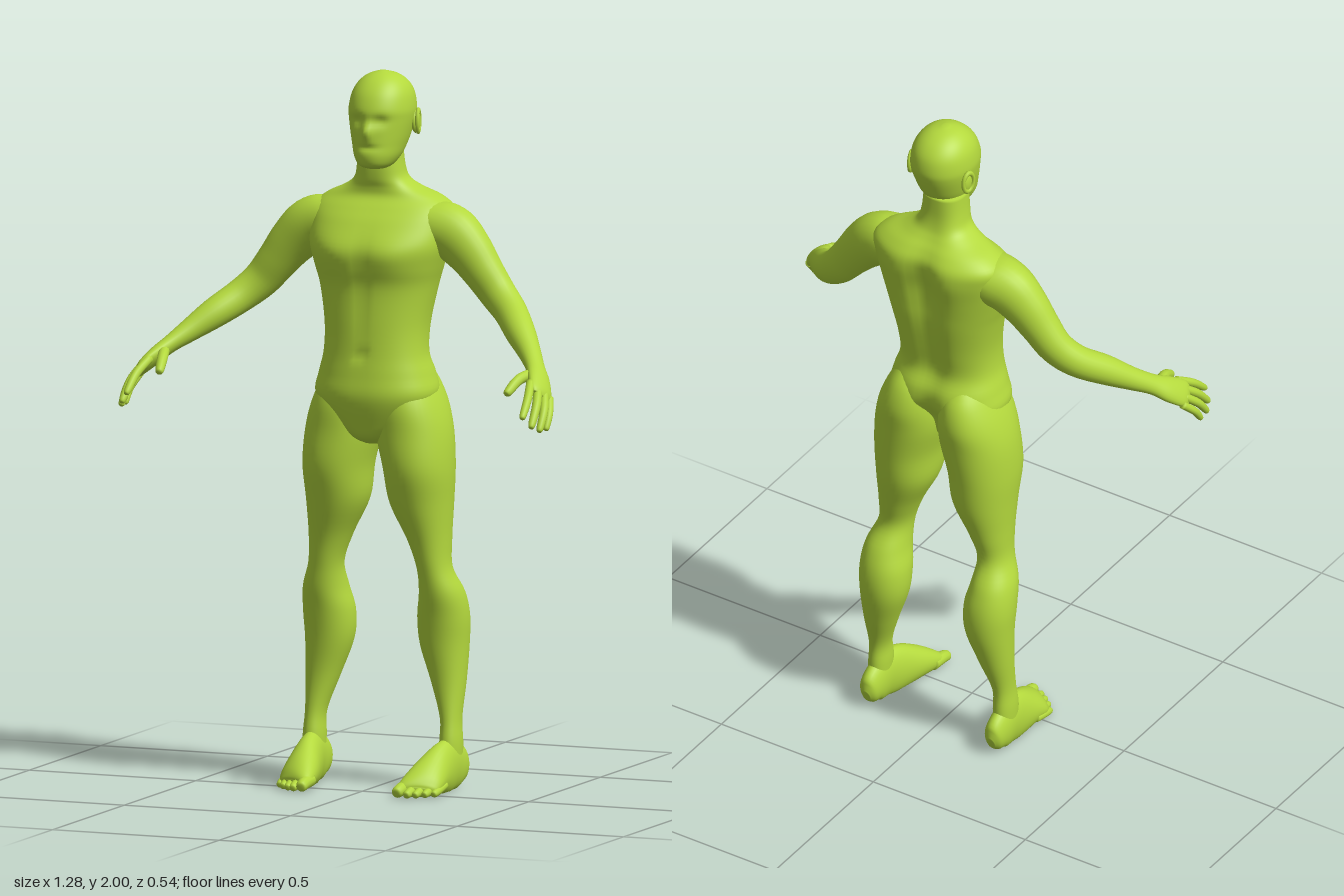
import * as THREE from 'three';

const skin = new THREE.MeshStandardMaterial({ color: 0xb4d93d });
skin.name = 'lime skin';

const bump = (d, width) => Math.exp(-((d / width) ** 2));

// Catmull-Rom through rows of numbers, giving a denser list of rows
function smooth(rows, steps = 5) {
  const out = [];
  const at = (i) => rows[Math.min(Math.max(i, 0), rows.length - 1)];
  for (let i = 0; i < rows.length - 1; i++) {
    for (let s = 0; s < steps; s++) {
      const t = s / steps;
      out.push(rows[i].map((p1, k) => {
        const p0 = at(i - 1)[k], p2 = at(i + 1)[k], p3 = at(i + 2)[k];
        return p1 + 0.5 * t * (p2 - p0 + t * (2 * p0 - 5 * p1 + 4 * p2 - p3 + t * (3 * (p1 - p2) + p3 - p0)));
      }));
    }
  }
  out.push(rows[rows.length - 1]);
  return out;
}

// Closed skin over a list of rings, with a fan at each end
function skinRings(rings) {
  const n = rings[0].length, pos = [], idx = [];
  rings.forEach((ring) => ring.forEach((p) => pos.push(p.x, p.y, p.z)));
  for (let i = 0; i < rings.length - 1; i++) {
    for (let j = 0; j < n; j++) {
      const a = i * n + j, b = i * n + (j + 1) % n;
      idx.push(a, a + n, b, b, a + n, b + n);
    }
  }
  [0, rings.length - 1].forEach((r) => {
    const c = new THREE.Vector3();
    rings[r].forEach((p) => c.addScaledVector(p, 1 / n));
    const ci = pos.length / 3;
    pos.push(c.x, c.y, c.z);
    for (let j = 0; j < n; j++) {
      const a = r * n + j, b = r * n + (j + 1) % n;
      if (r === 0) idx.push(ci, a, b); else idx.push(ci, b, a);
    }
  });
  const g = new THREE.BufferGeometry();
  g.setAttribute('position', new THREE.Float32BufferAttribute(pos, 3));
  g.setIndex(idx);
  g.computeVertexNormals();
  return g;
}

// Upright loft: rows of [y, x0, x1, z0, z1], with an optional rule moving each point
function loft(rows, rule, power = 1, n = 40) {
  return skinRings(smooth(rows).map(([y, x0, x1, z0, z1]) => Array.from({ length: n }, (_, j) => {
    const a = (j / n) * Math.PI * 2;
    const f = (v) => Math.sign(v) * Math.abs(v) ** power;
    const p = new THREE.Vector3(
      (x0 + x1) / 2 + f(Math.cos(a)) * (x1 - x0) / 2, y,
      (z0 + z1) / 2 + f(Math.sin(a)) * (z1 - z0) / 2);
    if (rule) rule(p, Math.sin(a));
    return p;
  })));
}

// Limb along a path: rows of [x, y, z, radiusU, radiusV]
function limb(rows, rule, ref = new THREE.Vector3(0, 0, 1), n = 24) {
  const dense = smooth(rows);
  const centre = dense.map((r) => new THREE.Vector3(r[0], r[1], r[2]));
  return skinRings(dense.map((r, i) => {
    const t = centre[Math.min(i + 1, centre.length - 1)].clone().sub(centre[Math.max(i - 1, 0)]).normalize();
    const u = new THREE.Vector3().crossVectors(ref, t).normalize();
    const v = new THREE.Vector3().crossVectors(u, t);
    return Array.from({ length: n }, (_, j) => {
      const a = (j / n) * Math.PI * 2;
      const p = centre[i].clone().addScaledVector(u, Math.cos(a) * r[3]).addScaledVector(v, Math.sin(a) * r[4]);
      if (rule) rule(p);
      return p;
    });
  }));
}

// Finger or toe: root, joint, tip and radius
function digit(root, joint, tip, r) {
  const near = tip.map((v, k) => v + (joint[k] - v) * 0.15);
  return limb([[...root, r, r], [...joint, r, r], [...near, r * 0.8, r * 0.8], [...tip, r * 0.25, r * 0.25]],
    null, new THREE.Vector3(1, 0, 0), 12);
}

function mirrored(geometry) {
  const g = geometry.clone().scale(-1, 1, 1), i = g.index;
  for (let k = 0; k < i.count; k += 3) {
    const a = i.getX(k);
    i.setX(k, i.getX(k + 1));
    i.setX(k + 1, a);
  }
  g.computeVertexNormals();
  return g;
}

export function createModel() {
  const model = new THREE.Group();
  model.name = 'human figure';
  const add = (name, geometry) => {
    const m = new THREE.Mesh(geometry, skin);
    m.name = name;
    model.add(m);
    return m;
  };
  const pair = (name, geometry) => {
    add('left ' + name, geometry);
    add('right ' + name, mirrored(geometry));
  };

  // Torso and neck: [y, half width, back, front]
  const torso = [
    [0.965, 0.03, -0.14, -0.06], [0.985, 0.06, -0.17, -0.015], [1.03, 0.12, -0.2, 0.005],
    [1.1, 0.172, -0.235, 0.024], [1.16, 0.163, -0.235, 0.02], [1.22, 0.147, -0.215, 0.014],
    [1.3, 0.147, -0.228, 0.01], [1.4, 0.165, -0.248, 0.006], [1.46, 0.182, -0.256, 0.014],
    [1.52, 0.198, -0.263, 0.014], [1.58, 0.203, -0.273, -0.018], [1.62, 0.2, -0.27, -0.05],
    [1.65, 0.165, -0.25, -0.075], [1.675, 0.11, -0.225, -0.078], [1.7, 0.076, -0.207, -0.073],
    [1.74, 0.065, -0.195, -0.07], [1.8, 0.06, -0.19, -0.07],
  ].map(([y, w, z0, z1]) => [y, -w, w, z0, z1]);
  add('torso', loft(torso, (p, s) => {
    if (s < 0) { // spine groove and shoulder blades
      p.z += -s * bump(p.x, 0.045) * (0.03 * bump(p.y - 1.5, 0.16) + 0.015 * bump(p.y - 1.25, 0.12) + 0.03 * bump(p.y - 1.06, 0.07));
      p.z -= -s * 0.006 * bump(Math.abs(p.x) - 0.1, 0.05) * bump(p.y - 1.55, 0.07);
    } else { // chest, midline and navel
      p.z += s * 0.012 * bump(Math.abs(p.x) - 0.085, 0.07) * bump(p.y - 1.495, 0.05);
      p.z -= s * 0.005 * bump(p.x, 0.015) * bump(p.y - 1.38, 0.14);
      p.z -= s * 0.008 * bump(p.x, 0.015) * bump(p.y - 1.22, 0.015);
    }
  }, 0.86, 64));

  // Head with nose, brow, eye hollows and mouth
  const head = [
    [1.735, 0.028, -0.11, -0.035], [1.745, 0.046, -0.13, -0.01], [1.77, 0.062, -0.165, -0.001],
    [1.8, 0.072, -0.19, -0.003], [1.83, 0.08, -0.205, -0.005], [1.87, 0.088, -0.22, -0.007],
    [1.9, 0.09, -0.225, -0.007], [1.94, 0.083, -0.217, -0.022], [1.97, 0.066, -0.195, -0.046],
    [1.99, 0.04, -0.163, -0.075], [2, 0.008, -0.125, -0.105],
  ].map(([y, w, z0, z1]) => [y, -w, w, z0, z1]);
  add('head', loft(head, (p, s) => {
    if (s > 0) {
      p.z += s * 0.017 * bump(p.x, 0.014) * bump(p.y - 1.842, 0.022);
      p.z -= s * 0.01 * bump(Math.abs(p.x) - 0.035, 0.02) * bump(p.y - 1.87, 0.016);
      p.z -= s * 0.005 * bump(p.x, 0.03) * bump(p.y - 1.797, 0.008);
    }
  }, 0.95, 64)).position.x = 0.012;

  // Ears
  for (const s of [1, -1]) {
    const name = s > 0 ? 'left ear' : 'right ear';
    const lobe = add(name, new THREE.SphereGeometry(1, 20, 14));
    lobe.scale.set(0.011, 0.032, 0.021);
    lobe.position.set(0.012 + s * 0.088, 1.858, -0.143);
    const rim = add(name + ' rim', new THREE.TorusGeometry(0.021, 0.006, 8, 24));
    rim.scale.set(0.9, 1.4, 1);
    rim.rotation.y = Math.PI / 2 + s * 0.25;
    rim.position.set(0.012 + s * 0.094, 1.86, -0.145);
  }

  // Legs from buttock to ankle: [y, inner, outer, back, front]
  pair('leg', loft([
    [0.05, 0.178, 0.232, -0.19, -0.1], [0.13, 0.175, 0.235, -0.19, -0.1], [0.2, 0.174, 0.231, -0.19, -0.11],
    [0.3, 0.14, 0.236, -0.22, -0.115], [0.4, 0.105, 0.24, -0.245, -0.107], [0.48, 0.1, 0.243, -0.246, -0.095],
    [0.55, 0.113, 0.235, -0.225, -0.08], [0.62, 0.115, 0.21, -0.187, -0.07], [0.7, 0.088, 0.207, -0.2, -0.055],
    [0.8, 0.04, 0.211, -0.225, -0.025], [0.9, 0.025, 0.216, -0.236, 0], [1, 0.002, 0.209, -0.246, 0],
    [1.08, 0.004, 0.188, -0.253, -0.002], [1.15, 0.02, 0.155, -0.235, -0.025], [1.2, 0.05, 0.12, -0.19, -0.06],
  ], null, 0.94));

  // Feet, flat below and shorter on the outside
  const up = new THREE.Vector3(0, 1, 0);
  pair('foot', limb([
    [0.205, 0.045, -0.221, 0.012, 0.02], [0.205, 0.05, -0.208, 0.026, 0.042], [0.205, 0.062, -0.18, 0.032, 0.064],
    [0.203, 0.07, -0.13, 0.034, 0.075], [0.197, 0.06, -0.075, 0.042, 0.072], [0.19, 0.047, -0.02, 0.052, 0.054],
    [0.186, 0.032, 0.025, 0.056, 0.036], [0.186, 0.022, 0.05, 0.05, 0.02], [0.186, 0.02, 0.058, 0.03, 0.01],
  ], (p) => {
    p.y = Math.max(p.y, 0.003);
    p.z -= Math.max(0, p.z + 0.1) * (p.x - 0.185) * 3;
  }, up, 32));
  [[0.145, 0.098, 0.018], [0.172, 0.092, 0.013], [0.193, 0.08, 0.012], [0.214, 0.063, 0.012], [0.233, 0.042, 0.012]]
    .forEach(([x, tip, r], i) => pair('toe ' + (i + 1),
      digit([x, 0.03, tip - 0.075], [x, r + 0.008, tip - 0.03], [x - 0.002, r, tip], r)));

  // Arms from shoulder to palm
  pair('arm', limb([
    [0.1, 1.6, -0.15, 0.045, 0.075], [0.16, 1.572, -0.145, 0.072, 0.078], [0.215, 1.55, -0.14, 0.077, 0.07],
    [0.265, 1.505, -0.135, 0.068, 0.06], [0.31, 1.45, -0.13, 0.058, 0.052], [0.355, 1.395, -0.123, 0.052, 0.046],
    [0.405, 1.35, -0.095, 0.047, 0.044], [0.46, 1.305, -0.035, 0.042, 0.042], [0.51, 1.262, 0.02, 0.032, 0.033],
    [0.548, 1.228, 0.068, 0.024, 0.03], [0.575, 1.2, 0.105, 0.022, 0.038], [0.598, 1.172, 0.145, 0.016, 0.04],
    [0.606, 1.16, 0.162, 0.007, 0.03],
  ]));

  // Fingers and thumb
  pair('index finger', digit([0.572, 1.198, 0.155], [0.588, 1.163, 0.21], [0.595, 1.112, 0.268], 0.012));
  pair('middle finger', digit([0.592, 1.182, 0.15], [0.609, 1.142, 0.2], [0.615, 1.085, 0.252], 0.0125));
  pair('ring finger', digit([0.606, 1.166, 0.138], [0.624, 1.125, 0.183], [0.628, 1.072, 0.225], 0.012));
  pair('little finger', digit([0.614, 1.152, 0.12], [0.629, 1.115, 0.157], [0.632, 1.072, 0.188], 0.011));
  pair('thumb', digit([0.555, 1.215, 0.09], [0.535, 1.203, 0.15], [0.521, 1.168, 0.208], 0.015));

  return model;
}
